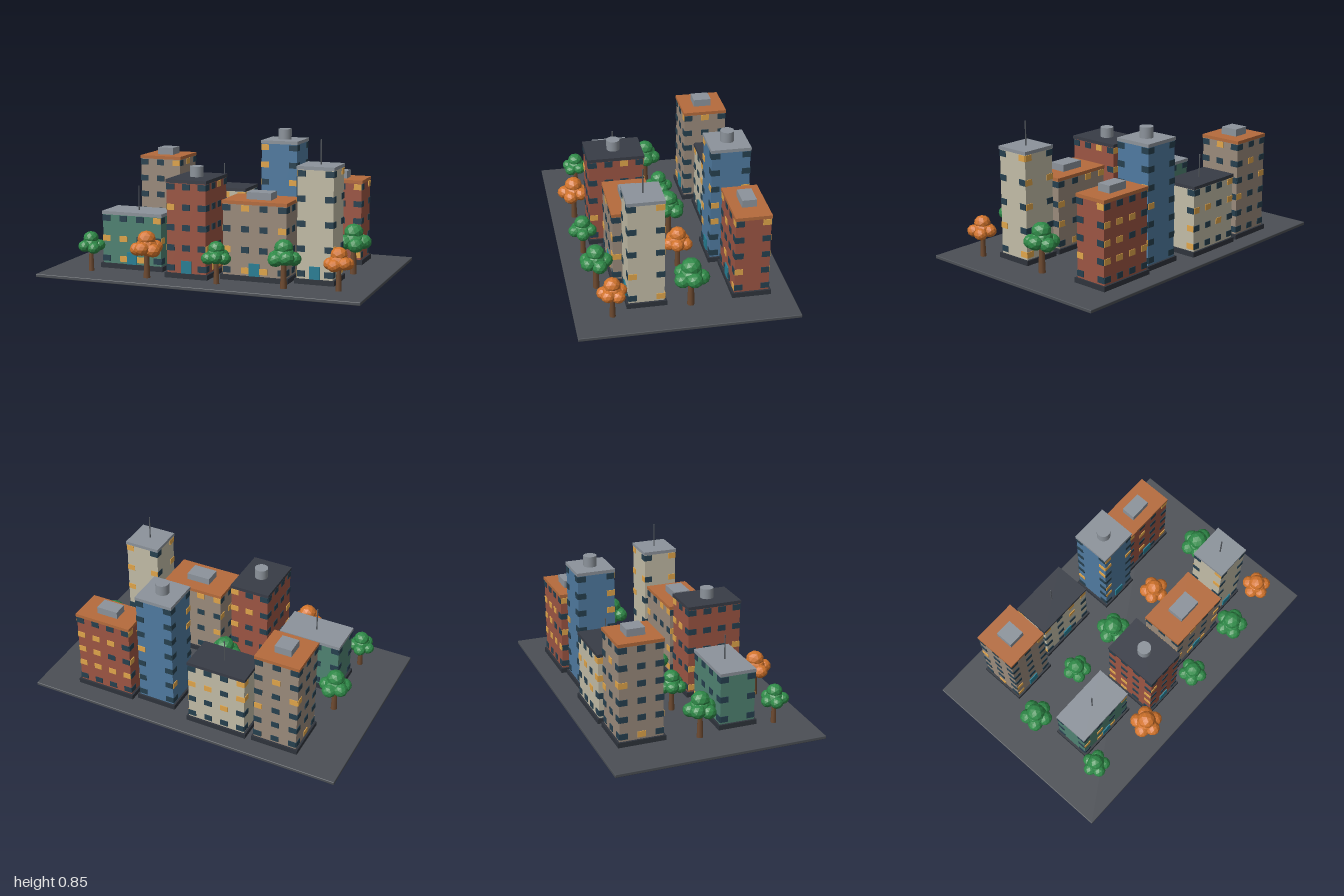
import * as THREE from 'three';
import { mergeGeometries } from 'three/addons/utils/BufferGeometryUtils.js';
import { RoundedBoxGeometry } from 'three/addons/geometries/RoundedBoxGeometry.js';

const material = (color, flatShading = false) => new THREE.MeshStandardMaterial({ color, flatShading });
const MAT = {
  ground: material(0x4b4f55), plinth: material(0x2f343c),
  tan: material(0x9a8a7b), brick: material(0x9c5543), cream: material(0xc2bca6),
  blue: material(0x4f7aa0), green: material(0x4f8272),
  roofOrange: material(0xb56b3c), roofGrey: material(0x8c939b), roofDark: material(0x383c46),
  metal: material(0x8c939b), mast: material(0x555a60),
  glass: material(0x26404f), lit: material(0xe0a54a), door: material(0x277f95),
  trunk: material(0x6e4a30), leaf: material(0x2f8a48, true), autumn: material(0xd2742c, true),
};
const GROUND = 0.02, BASE_TOP = 0.05, ROOF = 0.02, WIN_W = 0.049, WIN_H = 0.036;

let seed = 7;
const random = () => (seed = (seed * 16807) % 2147483647) / 2147483647;

function add(parent, name, geometry, mat, x = 0, y = 0, z = 0) {
  const mesh = new THREE.Mesh(geometry, mat);
  mesh.name = name;
  mesh.position.set(x, y, z);
  parent.add(mesh);
  return mesh;
}
const box = (w, h, d) => new THREE.BoxGeometry(w, h, d);

// Window grids on all four walls, sorted into dark and lit panes
function addWindows(g, w, d, top, floors) {
  const panes = { glass: [], lit: [] };
  const first = 0.08, step = (top - 0.022 - first) / (floors - 1);
  for (let side = 0; side < 4; side++) {
    const [len, off] = side % 2 ? [d, w / 2] : [w, d / 2];
    const cols = Math.max(2, Math.floor(len / 0.08));
    for (let f = 0; f < floors; f++) {
      for (let c = 0; c < cols; c++) {
        const x = (c / (cols - 1) - 0.5) * (len - WIN_W);
        const pane = box(WIN_W, WIN_H, 0.008).translate(x, first + f * step, off);
        panes[random() < 0.24 ? 'lit' : 'glass'].push(pane.rotateY(side * Math.PI / 2));
      }
    }
  }
  if (panes.glass.length) add(g, 'darkWindows', mergeGeometries(panes.glass), MAT.glass);
  if (panes.lit.length) add(g, 'litWindows', mergeGeometries(panes.lit), MAT.lit);
}

// Extents are those of the roof slab; the wall is a little narrower, the plinth a little wider
function building({ x, z, h, floors, wall, roof, top, topH, unit }) {
  const g = new THREE.Group();
  g.name = 'building';
  const w = x[1] - x[0], d = z[1] - z[0], wallTop = h - ROOF;
  g.position.set((x[0] + x[1]) / 2, 0, (z[0] + z[1]) / 2);
  const bw = w - 0.01, bd = d - 0.01;
  add(g, 'plinth', box(w + 0.015, BASE_TOP - GROUND, d + 0.015), MAT.plinth, 0, (GROUND + BASE_TOP) / 2);
  add(g, 'walls', box(bw, wallTop - BASE_TOP, bd), MAT[wall], 0, (wallTop + BASE_TOP) / 2);
  add(g, 'roof', box(w, ROOF, d), MAT[roof], 0, h - ROOF / 2);
  add(g, 'door', box(0.065, 0.075, 0.014), MAT.door, 0, BASE_TOP + 0.0375, bd / 2);
  addWindows(g, bw, bd, wallTop, floors);
  // Rooftop equipment
  const y = h + topH / 2;
  if (top === 'box') add(g, 'roofUnit', box(unit[0], topH, unit[1]), MAT.metal, 0, y);
  if (top === 'tank') add(g, 'waterTank', new THREE.CylinderGeometry(0.041, 0.041, topH, 20), MAT.metal, 0, y);
  if (top === 'mast') add(g, 'antenna', new THREE.CylinderGeometry(0.004, 0.004, topH, 8), MAT.mast, 0, y);
  return g;
}

// Tree of crown radius r: trunk, ring of five leaf clumps, core and crown
function tree([x, z, r, leaf], index) {
  const g = new THREE.Group();
  g.name = 'tree';
  g.position.set(x, GROUND, z);
  g.rotation.y = index * 0.35;
  g.scale.setScalar(r);
  add(g, 'trunk', new THREE.CylinderGeometry(0.14, 0.2, 1.7, 8), MAT.trunk, 0, 0.85);
  const clump = (radius, px, py, pz) =>
    add(g, 'foliage', new THREE.IcosahedronGeometry(radius, 1), MAT[leaf], px, py, pz).scale.set(1, 0.9, 1);
  clump(0.66, 0, 1.9, 0);
  clump(0.55, 0, 2.36, 0);
  for (let i = 0; i < 5; i++) {
    const a = i * Math.PI * 2 / 5;
    clump(0.46, Math.cos(a) * 0.56, 1.72 + (i % 2) * 0.12, Math.sin(a) * 0.56);
  }
  return g;
}

export function createModel() {
  const model = new THREE.Group();
  model.name = 'cityBlock';
  add(model, 'ground', new RoundedBoxGeometry(2, GROUND, 1.28, 2, 0.004), MAT.ground, 0, GROUND / 2);

  const buildings = [
    // Back row
    { x: [-0.71, -0.43], z: [-0.515, -0.24], h: 0.645, floors: 6, wall: 'tan', roof: 'roofOrange', top: 'box', topH: 0.045, unit: [0.105, 0.11] },
    { x: [-0.38, -0.005], z: [-0.525, -0.295], h: 0.455, floors: 4, wall: 'cream', roof: 'roofDark', top: 'mast', topH: 0.14 },
    { x: [0.115, 0.355], z: [-0.48, -0.24], h: 0.775, floors: 7, wall: 'blue', roof: 'roofGrey', top: 'tank', topH: 0.065 },
    { x: [0.39, 0.755], z: [-0.51, -0.295], h: 0.546, floors: 5, wall: 'brick', roof: 'roofOrange', top: 'box', topH: 0.045, unit: [0.135, 0.086] },
    // Front row
    { x: [-0.71, -0.315], z: [0.1, 0.325], h: 0.37, floors: 3, wall: 'green', roof: 'roofGrey', top: 'mast', topH: 0.15 },
    { x: [-0.235, 0.02], z: [0.095, 0.44], h: 0.605, floors: 5, wall: 'brick', roof: 'roofDark', top: 'tank', topH: 0.062 },
    { x: [0.09, 0.49], z: [0.105, 0.37], h: 0.49, floors: 4, wall: 'tan', roof: 'roofOrange', top: 'box', topH: 0.042, unit: [0.152, 0.105] },
    { x: [0.53, 0.755], z: [0.103, 0.323], h: 0.705, floors: 5, wall: 'cream', roof: 'roofGrey', top: 'mast', topH: 0.147 },
  ];
  for (const spec of buildings) model.add(building(spec));

  const trees = [
    // Street between the rows
    [-0.75, -0.04, 0.1, 'leaf'], [-0.36, -0.06, 0.09, 'leaf'], [-0.02, -0.06, 0.105, 'leaf'],
    [0.355, -0.045, 0.092, 'autumn'], [0.775, -0.04, 0.107, 'leaf'],
    // Front pavement
    [-0.73, 0.435, 0.085, 'leaf'], [-0.335, 0.495, 0.099, 'autumn'], [0.105, 0.495, 0.088, 'leaf'],
    [0.505, 0.47, 0.1, 'leaf'], [0.815, 0.42, 0.089, 'autumn'],
  ];
  trees.forEach((spec, i) => model.add(tree(spec, i)));
  return model;
}
